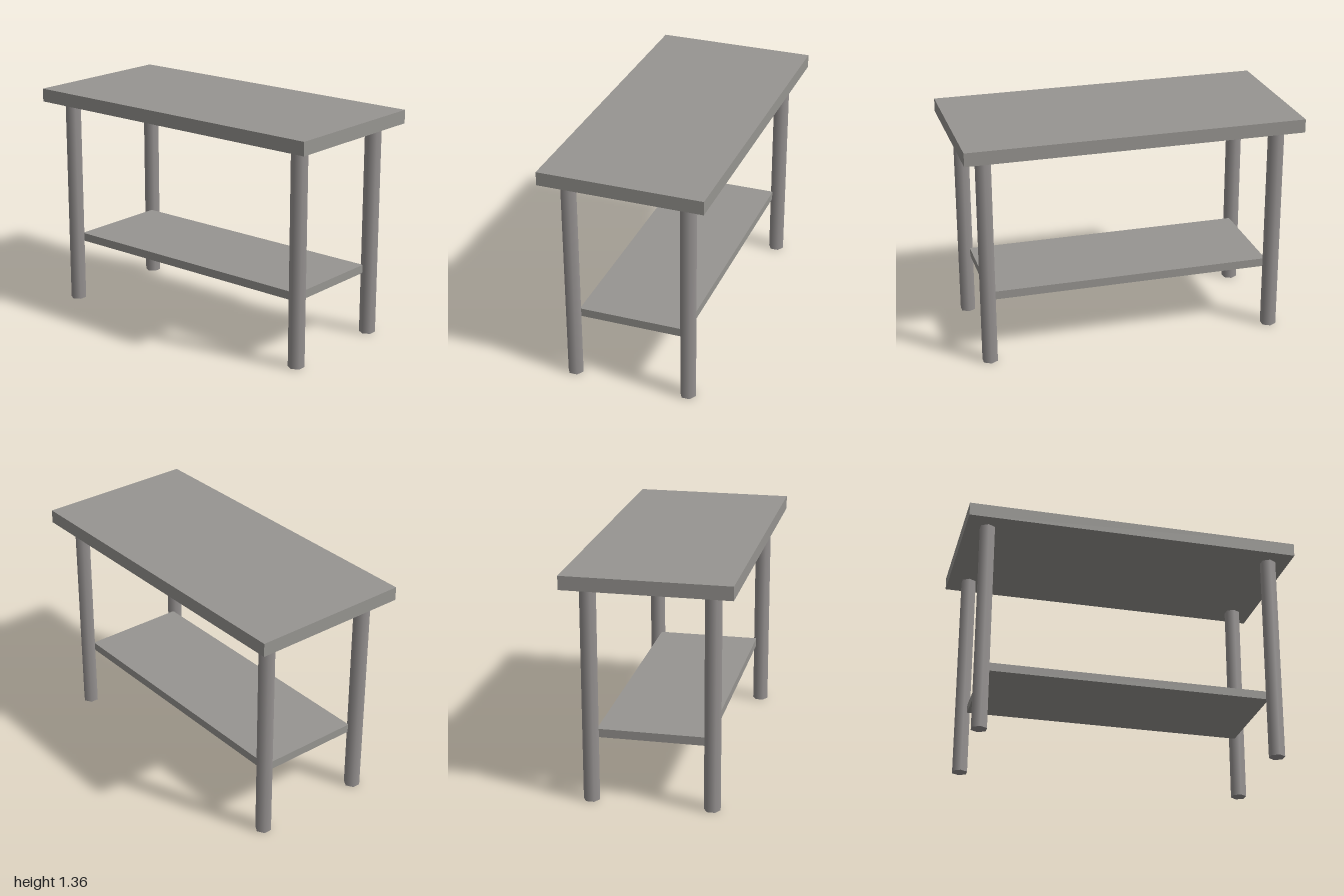
import * as THREE from 'three';

export function createModel() {
  const table = new THREE.Group();
  table.name = 'table';

  const boardGrey = new THREE.MeshStandardMaterial({ color: 0x979591 });
  boardGrey.name = 'board grey';
  const legGrey = new THREE.MeshStandardMaterial({ color: 0x979392 });
  legGrey.name = 'leg grey';

  function addPart(name, geometry, material, x, y, z) {
    const mesh = new THREE.Mesh(geometry, material);
    mesh.name = name;
    mesh.position.set(x, y, z);
    table.add(mesh);
  }

  // Thick top board and thinner lower shelf, whose corners sit inside the legs
  addPart('tableTop', new THREE.BoxGeometry(0.96, 0.08, 2), boardGrey, 0, 1.32, 0);
  addPart('lowerShelf', new THREE.BoxGeometry(0.64, 0.05, 1.7), boardGrey, 0, 0.4, 0);

  // Four six-sided legs with smooth normals, corners pointing along x
  const legGeometry = new THREE.CylinderGeometry(0.048, 0.048, 1.28, 6, 1, false, Math.PI / 6);
  for (const [side, x] of [['Left', 0.35], ['Right', -0.35]]) {
    for (const [end, z] of [['front', 0.873], ['back', -0.873]]) {
      addPart(`${end}${side}Leg`, legGeometry, legGrey, x, 0.64, z);
    }
  }

  return table;
}
